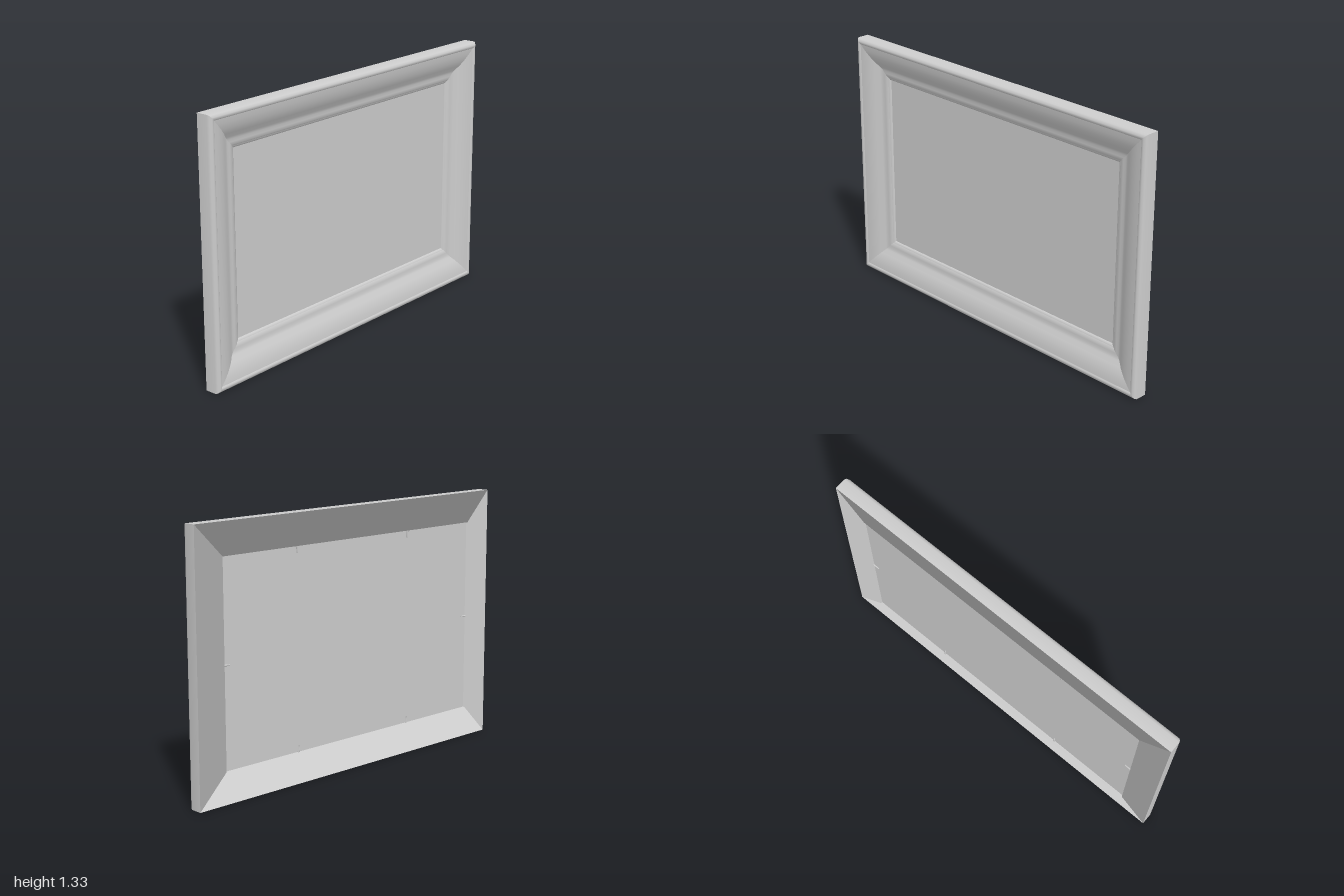
import * as THREE from 'three';

const HALF_W = 1, HALF_H = 0.667, BACK = -0.04;

// Profiles as [inset from the outer edge, z], running over the front and round to the back
const profiles = {
  outerRim: { points: [[0, BACK], [0, 0.02], [0.004, 0.031], [0.014, 0.039], [0.024, 0.039], [0.03, 0.034]] },
  moulding: {
    points: [[0.03, 0.034], [0.055, 0.031], [0.085, 0.023], [0.115, 0.01], [0.138, -0.006],
      [0.152, -0.011], [0.166, -0.011], [0.18, -0.013], [0.188, -0.018]],
  },
  innerLip: { points: [[0.188, -0.018], [0.198, -0.021], [0.2, -0.028]] },
  rebate: { points: [[0.2, -0.028], [0.16, -0.028]] },
  backFace: { points: [[0.16, -0.028], [0.16, BACK], [0, BACK]], even: true },
};

const corners = [[-1, -1], [1, -1], [1, 1], [-1, 1]];
const barNames = ['bottom', 'left', 'top', 'right'];
const inward = [[0, 1], [-1, 0], [0, -1], [1, 0]];

// One mitred bar: a profile stretched between two neighbouring corners,
// with normals smoothed along the profile (or shared by all of it if even)
function barGeometry(side, { points, even }) {
  const segments = points.slice(1).map(([d, z], i) =>
    new THREE.Vector2(-(z - points[i][1]), d - points[i][0]).normalize());
  const total = segments.reduce((sum, n) => sum.add(n), new THREE.Vector2());
  const position = [], normal = [], index = [];
  points.forEach(([d, z], j) => {
    const n = even ? total.clone() : new THREE.Vector2()
      .add(segments[Math.max(j - 1, 0)])
      .add(segments[Math.min(j, segments.length - 1)]);
    n.normalize();
    for (const [sx, sy] of [corners[side], corners[(side + 1) % 4]]) {
      position.push(sx * (HALF_W - d), HALF_H + sy * (HALF_H - d), z);
      normal.push(inward[side][0] * n.x, inward[side][1] * n.x, n.y);
    }
    if (j > 0) {
      const a = 2 * j - 2;
      index.push(a, a + 1, a + 3, a, a + 3, a + 2);
    }
  });
  const geometry = new THREE.BufferGeometry();
  geometry.setAttribute('position', new THREE.Float32BufferAttribute(position, 3));
  geometry.setAttribute('normal', new THREE.Float32BufferAttribute(normal, 3));
  geometry.setIndex(index);
  return geometry;
}

export function createModel() {
  const grey = new THREE.MeshStandardMaterial({ color: 0xcccccc });
  grey.name = 'light grey';
  const model = new THREE.Group();
  model.name = 'pictureFrame';

  // Four mitred frame bars
  barNames.forEach((name, side) => {
    const bar = new THREE.Group();
    bar.name = name + 'Bar';
    for (const [part, profile] of Object.entries(profiles)) {
      const mesh = new THREE.Mesh(barGeometry(side, profile), grey);
      mesh.name = part;
      bar.add(mesh);
    }
    model.add(bar);
  });

  // Flat panel set into the rebate
  const panel = new THREE.Mesh(
    new THREE.BoxGeometry(2 * (HALF_W - 0.161), 2 * (HALF_H - 0.161), 0.004), grey);
  panel.name = 'panel';
  panel.position.set(0, HALF_H, -0.03);
  model.add(panel);

  // Small retaining pins around the back, pointing inward
  const pinGeometry = new THREE.CylinderGeometry(0.003, 0.006, 0.04, 6);
  const edgeX = HALF_W - 0.175, edgeY = HALF_H - 0.175;
  const pins = [
    [-0.38, -edgeY, 0], [0.38, -edgeY, 0],
    [-0.38, edgeY, Math.PI], [0.38, edgeY, Math.PI],
    [-edgeX, 0, -Math.PI / 2], [edgeX, 0, Math.PI / 2],
  ];
  for (const [x, y, turn] of pins) {
    const pin = new THREE.Mesh(pinGeometry, grey);
    pin.name = 'retainingPin';
    pin.position.set(x, HALF_H + y, -0.034);
    pin.rotation.z = turn;
    model.add(pin);
  }
  return model;
}
